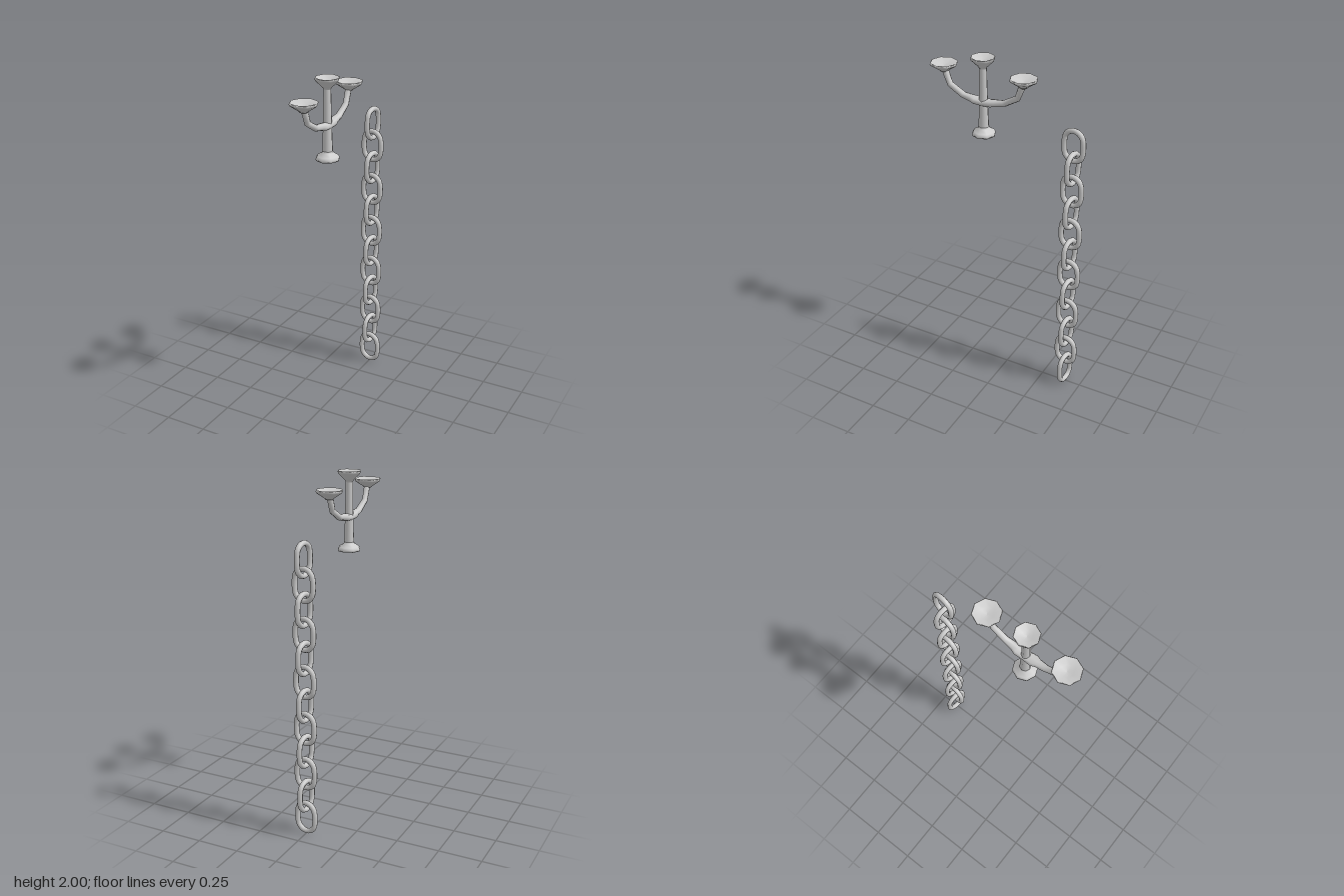
import * as THREE from 'three';

const material = new THREE.MeshStandardMaterial({ color: 0xcccccc });
const STAND_Z = 0.146;

function part(name, geometry) {
  const mesh = new THREE.Mesh(geometry, material);
  mesh.name = name;
  return mesh;
}

// Eight-sided turned part; the profile runs from the bottom, outwards and up.
function turned(name, profile) {
  return part(name, new THREE.LatheGeometry(profile.map(([r, y]) => new THREE.Vector2(r, y)), 8));
}

// Oval ring in the XY plane, centred on the origin.
function linkGeometry(radius, halfStraight, thickness) {
  const points = [];
  for (const side of [1, -1]) {
    for (let i = 0; i <= 6; i++) {
      const a = (i / 6) * Math.PI;
      points.push(new THREE.Vector3(side * radius * Math.cos(a), side * (halfStraight + radius * Math.sin(a)), 0));
    }
  }
  const curve = new THREE.CatmullRomCurve3(points, true);
  return new THREE.TubeGeometry(curve, 32, thickness, 8, true);
}

// Sweeps an eight-sided oval through stations of [z, y, half width in x, half thickness].
function armGeometry(stations) {
  const sides = 8, positions = [], index = [];
  stations.forEach(([z, y, w, t], i) => {
    const a = stations[Math.max(i - 1, 0)], b = stations[Math.min(i + 1, stations.length - 1)];
    const length = Math.hypot(b[0] - a[0], b[1] - a[1]);
    const tz = (b[0] - a[0]) / length, ty = (b[1] - a[1]) / length;
    for (let j = 0; j < sides; j++) {
      const angle = (j / sides) * Math.PI * 2;
      const up = t * Math.sin(angle);
      positions.push(w * Math.cos(angle), y + up * tz, z - up * ty);
      if (i > 0) {
        const k = (j + 1) % sides, p = (i - 1) * sides, q = i * sides;
        index.push(p + j, p + k, q + j, p + k, q + k, q + j);
      }
    }
  });
  const geometry = new THREE.BufferGeometry();
  geometry.setAttribute('position', new THREE.Float32BufferAttribute(positions, 3));
  geometry.setIndex(index);
  geometry.computeVertexNormals();
  return geometry;
}

function createCandelabra() {
  const group = new THREE.Group();
  group.name = 'candelabra';
  group.position.z = STAND_Z;

  // Foot, tapering stem and centre cup
  group.add(turned('foot', [
    [0, 1.545], [0.066, 1.545], [0.068, 1.556], [0.06, 1.569], [0.034, 1.585], [0.029, 1.6],
  ]));
  group.add(turned('stem', [[0.031, 1.58], [0.029, 1.62], [0.025, 1.74], [0.021, 1.95]]));
  group.add(turned('centreCup', [
    [0.021, 1.935], [0.026, 1.945], [0.066, 1.985], [0.069, 1.996], [0.065, 2], [0.03, 1.982], [0, 1.976],
  ]));

  // Curved arms, mirrored front to back, each ending in a wide cup
  const half = [
    [0.05, 1.743, 0.034, 0.021], [0.075, 1.748, 0.025, 0.02], [0.127, 1.757, 0.02, 0.018],
    [0.208, 1.803, 0.017, 0.018], [0.238, 1.882, 0.018, 0.02],
  ];
  const mirrored = half.map(([z, ...rest]) => [-z, ...rest]).reverse();
  group.add(part('arms', armGeometry([...mirrored, [0, 1.738, 0.03, 0.02], ...half])));

  for (const [name, side] of [['frontCup', 1], ['backCup', -1]]) {
    const cup = turned(name, [
      [0, 1.87], [0.021, 1.872], [0.028, 1.88], [0.074, 1.91], [0.079, 1.92], [0.074, 1.926], [0.035, 1.91], [0, 1.904],
    ]);
    cup.position.z = side * 0.245;
    group.add(cup);
  }
  return group;
}

function createChain() {
  const group = new THREE.Group();
  group.name = 'chain';
  group.position.z = -0.399;
  group.rotation.y = -0.12;
  // Interlocked links, every other one turned a quarter
  const geometry = linkGeometry(0.058, 0.0298, 0.0155);
  for (let i = 0; i < 12; i++) {
    const link = part('chainLink' + (i + 1), geometry);
    link.position.y = 0.1035 + i * 0.1363;
    link.rotation.y = (i % 2) * Math.PI / 2;
    group.add(link);
  }
  return group;
}

export function createModel() {
  const model = new THREE.Group();
  model.name = 'candelabraAndChain';
  model.add(createCandelabra(), createChain());
  return model;
}
